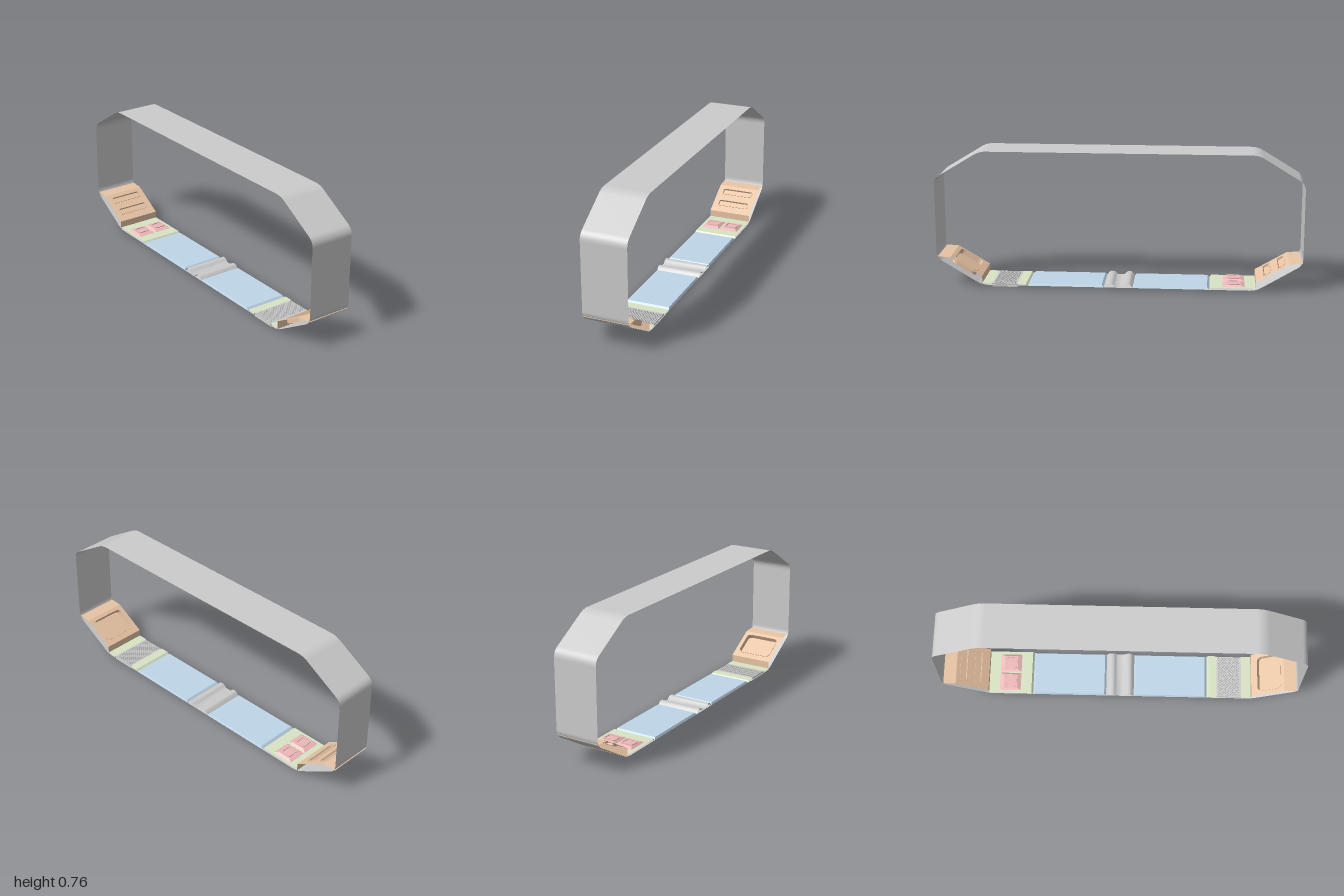
import * as THREE from 'three';

const mat = (color) => new THREE.MeshStandardMaterial({ color, side: THREE.DoubleSide });
const GREY = mat(0xcccccc), ORANGE = mat(0xe8c4a4), BLUE = mat(0xbed5e7);
const GREEN = mat(0xd8e4c4), PINK = mat(0xecb8b8);
const HALF = 0.125; // half depth of the section
const FLOOR = 0.01;

function add(parent, name, geometry, material, x = 0, y = 0, z = 0) {
  const mesh = new THREE.Mesh(geometry, material);
  mesh.name = name;
  mesh.position.set(x, y, z);
  parent.add(mesh);
  return mesh;
}

// Open sheet: a profile in x, y swept across the depth
function sheet(profile, smooth = false) {
  const pos = [], index = [];
  profile.forEach(([x, y], i) => {
    pos.push(x, y, HALF, x, y, -HALF);
    if (i) {
      const a = 2 * i - 2;
      index.push(a, a + 2, a + 1, a + 1, a + 2, a + 3);
    }
  });
  let g = new THREE.BufferGeometry();
  g.setAttribute('position', new THREE.Float32BufferAttribute(pos, 3));
  g.setIndex(index);
  if (!smooth) g = g.toNonIndexed();
  g.computeVertexNormals();
  return g;
}

// Octagonal ring profile with small rounded corners, starting mid floor
function ringProfile() {
  const right = [[0.75, FLOOR], [1, 0.16], [1, 0.605], [0.75, 0.757]];
  const left = right.map(([x, y]) => [-x, y]).reverse();
  const c = [...right, ...left].map((p) => new THREE.Vector2(...p));
  const pts = [[0, FLOOR]];
  c.forEach((p, i) => {
    const before = c[(i + 7) % 8].clone().sub(p).setLength(0.035).add(p);
    const after = c[(i + 1) % 8].clone().sub(p).setLength(0.035).add(p);
    const curve = new THREE.QuadraticBezierCurve(before, p, after);
    curve.getPoints(6).forEach((q) => pts.push([q.x, q.y]));
  });
  pts.push([0, FLOOR]);
  return pts;
}

// Rounded rectangle outline
function outline(w, d, r, cx = 0, Type = THREE.Shape) {
  const s = new Type(), a = w / 2, b = d / 2;
  s.moveTo(cx - a + r, -b);
  s.lineTo(cx + a - r, -b).quadraticCurveTo(cx + a, -b, cx + a, -b + r);
  s.lineTo(cx + a, b - r).quadraticCurveTo(cx + a, b, cx + a - r, b);
  s.lineTo(cx - a + r, b).quadraticCurveTo(cx - a, b, cx - a, b - r);
  s.lineTo(cx - a, -b + r).quadraticCurveTo(cx - a, -b, cx - a + r, -b);
  return s;
}

const flat = (shape) => new THREE.ShapeGeometry(shape, 4).rotateX(-Math.PI / 2);
const plate = (shape, depth) => new THREE.ExtrudeGeometry(shape,
  { depth, bevelEnabled: false, curveSegments: 4 }).rotateX(-Math.PI / 2);

function frame(w, d, r, rim, depth) {
  const s = outline(w, d, r);
  s.holes.push(outline(w - 2 * rim, d - 2 * rim, Math.max(r - rim, 0.003), 0, THREE.Path));
  return plate(s, depth);
}

// Box whose top is drawn in, giving sloped edges
function bevelSlab(w, h, d, insetX, insetZ) {
  const g = new THREE.BoxGeometry(w, h, d).translate(0, h / 2, 0);
  const p = g.attributes.position;
  for (let i = 0; i < p.count; i++) {
    if (p.getY(i) < h / 2) continue;
    p.setX(i, p.getX(i) - Math.sign(p.getX(i)) * insetX);
    p.setZ(i, p.getZ(i) - Math.sign(p.getZ(i)) * insetZ);
  }
  g.computeVertexNormals();
  return g;
}

// Sloped side console with recesses; side is +1 or -1
function console_(side, recesses, depth) {
  const group = new THREE.Group();
  group.name = side > 0 ? 'leftConsole' : 'rightConsole';
  const low = [0.75, 0.06], high = [0.925, 0.163];
  const lip = [[0.75, FLOOR], low].map(([x, y]) => [side * x, y]);
  const ledge = [high, [1, 0.168]].map(([x, y]) => [side * x, y]);
  add(group, 'consoleFoot', sheet(lip), ORANGE);
  add(group, 'consoleLedge', sheet(ledge), ORANGE);

  const dx = high[0] - low[0], dy = high[1] - low[1], len = Math.hypot(dx, dy);
  const slope = new THREE.Group();
  slope.name = 'consoleSlope';
  slope.position.set(side * (low[0] + dx / 2), low[1] + dy / 2, 0);
  slope.rotation.z = side * Math.atan2(dy, dx);
  group.add(slope);

  const face = outline(len, 2 * HALF, 0.0001);
  for (const { u, w, d, r } of recesses) {
    face.holes.push(outline(w - 0.004, d - 0.004, r, side * u, THREE.Path));
    add(slope, 'recessRim', frame(w, d, r, 0.005, depth + 0.003), ORANGE, side * u, -depth, 0);
    add(slope, 'recessFloor', flat(outline(w - 0.004, d - 0.004, r)), ORANGE, side * u, -depth, 0);
  }
  add(slope, 'consoleFace', flat(face), ORANGE);
  return group;
}

// Grating pierced by staggered diamond holes
function grating(w, d) {
  const s = outline(w, d, 0.0001);
  const rows = 15, step = d / rows, a = step * 0.36;
  const cols = Math.floor(w / step) * 2 - 1;
  for (let i = 0; i < cols; i++) {
    const odd = i % 2, x = (i - (cols - 1) / 2) * step / 2;
    for (let j = 0; j < rows - odd; j++) {
      const z = (j - (rows - 1 - odd) / 2) * step;
      const hole = new THREE.Path();
      hole.moveTo(x - a, z).lineTo(x, z - a).lineTo(x + a, z).lineTo(x, z + a).lineTo(x - a, z);
      s.holes.push(hole);
    }
  }
  return plate(s, 0.02);
}

export function createModel() {
  const model = new THREE.Group();
  model.name = 'corridorSection';

  // Thin outer skin
  add(model, 'hullRing', sheet(ringProfile(), true), GREY);

  // Side consoles: one wide recess, and two long slots
  model.add(console_(1, [{ u: 0.008, w: 0.15, d: 0.21, r: 0.03 }], 0.025));
  model.add(console_(-1, [
    { u: 0.056, w: 0.046, d: 0.19, r: 0.012 },
    { u: -0.033, w: 0.046, d: 0.19, r: 0.012 },
  ], 0.009));

  // Long floor panels either side of the middle
  for (const side of [-1, 1]) {
    add(model, 'floorPanel', bevelSlab(0.42, 0.012, 2 * HALF, 0.012, 0.006),
      BLUE, side * 0.288, FLOOR, 0);
  }

  // Twin ridge across the middle
  const half = [[0.018, 0.014], [0.03, 0.027], [0.04, 0.032], [0.056, 0.032], [0.066, 0.027], [0.08, FLOOR]];
  const ridge = [...half.map(([x, y]) => [-x, y]).reverse(), ...half];
  add(model, 'middleRidge', sheet(ridge, true), GREY);

  // Hatch bay: green bed with two pink raised hatches
  add(model, 'hatchBed', sheet([[-0.75, 0.022], [-0.508, 0.022], [-0.498, FLOOR]]), GREEN);
  for (const z of [-0.056, 0.056]) {
    add(model, 'hatch', bevelSlab(0.12, 0.01, 0.104, 0.022, 0.012), PINK, -0.63, 0.022, z);
    add(model, 'hatchFrame', frame(0.066, 0.076, 0.016, 0.01, 0.005), PINK, -0.63, 0.031, z);
  }

  // Grating bay: green strips around an open grating
  add(model, 'gratingStrip', sheet([[0.498, FLOOR], [0.508, 0.02], [0.555, 0.02], [0.555, FLOOR]]), GREEN);
  add(model, 'gratingStrip', sheet([[0.695, FLOOR], [0.695, 0.02], [0.75, 0.02]]), GREEN);
  add(model, 'floorGrating', grating(0.14, 0.24), GREY, 0.625, 0, 0);

  return model;
}
